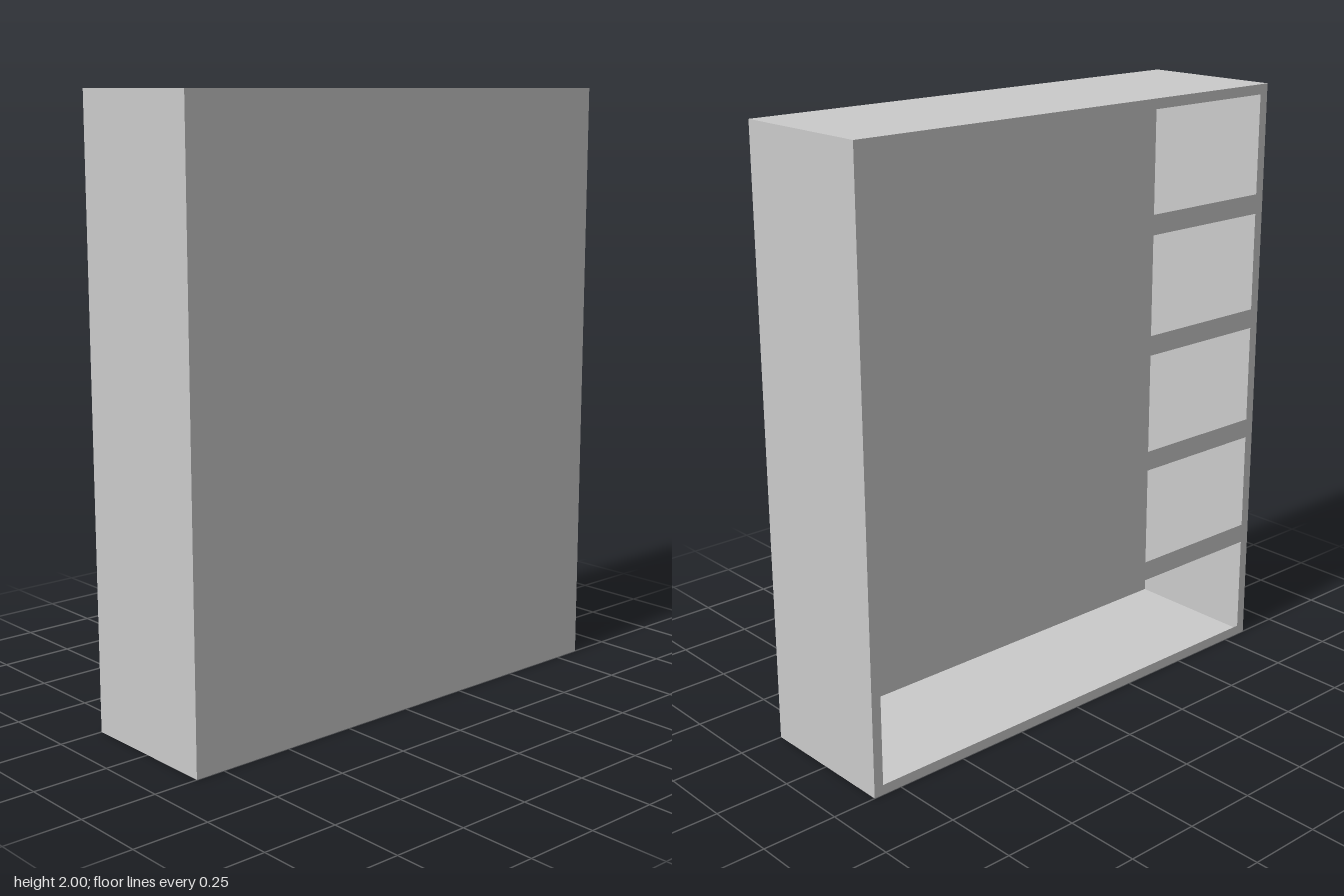
import * as THREE from 'three';

const WIDTH = 1.7;    // along z
const HEIGHT = 2;
const DEPTH = 0.5;    // along x, openings face -x
const RAIL = 0.0333;  // outer rail width; inner rails are double
const ROWS = 5;

function rectangle(target, x0, y0, x1, y1) {
  target.moveTo(x0, y0);
  target.lineTo(x1, y0);
  target.lineTo(x1, y1);
  target.lineTo(x0, y1);
  target.closePath();
  return target;
}

export function createModel() {
  const group = new THREE.Group();
  group.name = 'cabinet';
  const material = new THREE.MeshStandardMaterial({ color: 0xcccccc, flatShading: true, side: THREE.DoubleSide });

  // Thin sheet facing +z, turned and moved into place
  function addSheet(name, geometry, position, rotX, rotY) {
    const sheet = new THREE.Mesh(geometry, material);
    sheet.name = name;
    sheet.position.set(...position);
    sheet.rotation.set(rotX, rotY, 0);
    group.add(sheet);
  }

  // Hollow shell of thin sheets
  const quarter = Math.PI / 2;
  const side = new THREE.PlaneGeometry(DEPTH, HEIGHT);
  const cap = new THREE.PlaneGeometry(DEPTH, WIDTH);
  addSheet('frontSide', side, [0, HEIGHT / 2, WIDTH / 2], 0, 0);
  addSheet('rearSide', side, [0, HEIGHT / 2, -WIDTH / 2], 0, Math.PI);
  addSheet('top', cap, [0, HEIGHT, 0], -quarter, 0);
  addSheet('floor', cap, [0, 0, 0], quarter, 0);
  addSheet('closedPanel', new THREE.PlaneGeometry(WIDTH, HEIGHT), [DEPTH / 2, HEIGHT / 2, 0], 0, quarter);

  // Flat face frame with one opening per drawer
  const face = rectangle(new THREE.Shape(), -WIDTH / 2, 0, WIDTH / 2, HEIGHT);
  const pitch = HEIGHT / ROWS;
  for (let row = 0; row < ROWS; row++) {
    // Only the top row is split in two
    const columns = row === ROWS - 1 ? 2 : 1;
    const cell = WIDTH / columns;
    for (let c = 0; c < columns; c++) {
      const x = -WIDTH / 2 + c * cell;
      const y = row * pitch;
      face.holes.push(rectangle(new THREE.Path(), x + RAIL, y + RAIL, x + cell - RAIL, y + pitch - RAIL));
    }
  }
  addSheet('faceFrame', new THREE.ShapeGeometry(face), [-DEPTH / 2, 0, 0], 0, -quarter);

  return group;
}
